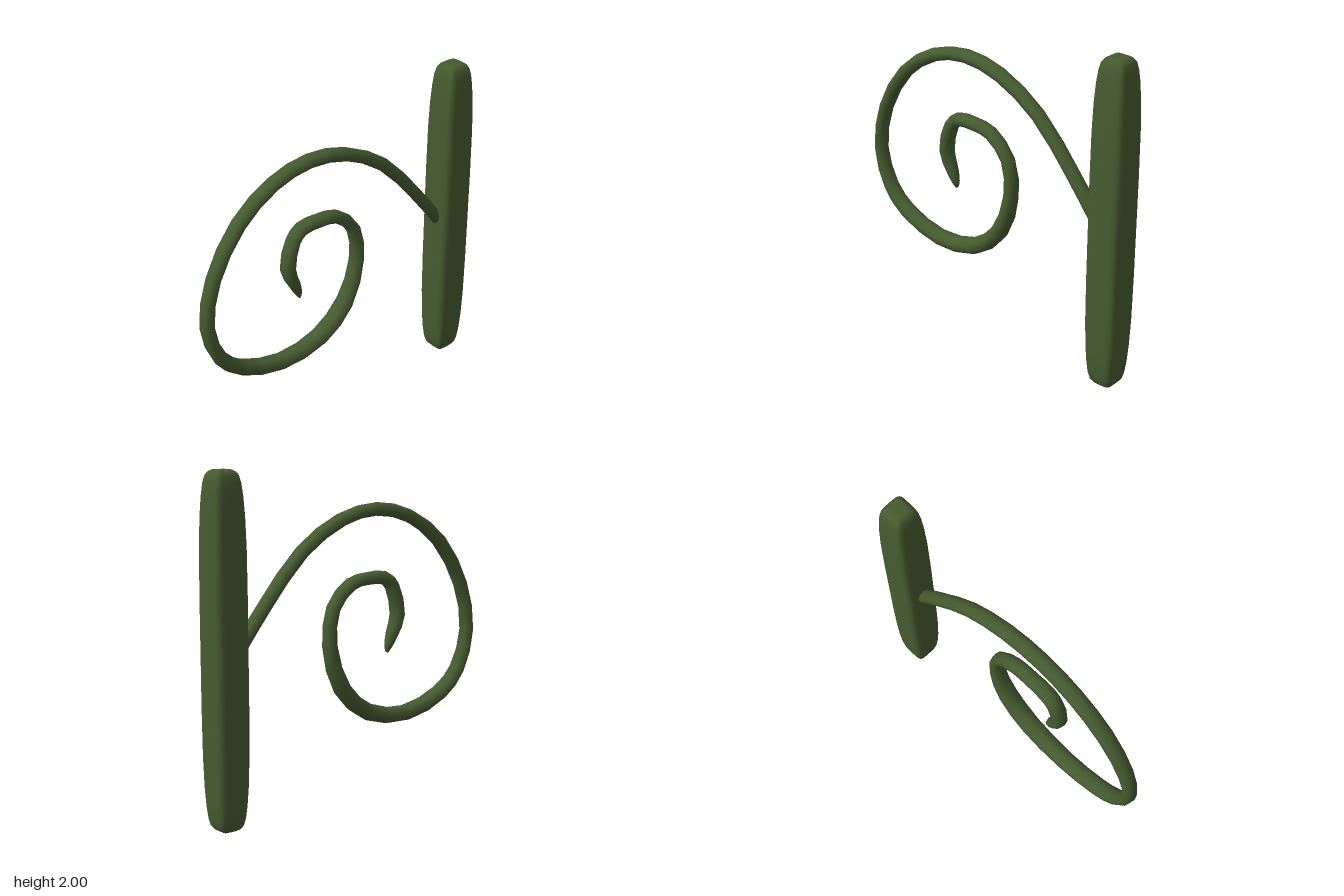
import * as THREE from 'three';

// Skin a list of closed rings (arrays of Vector3) into a smooth capped solid
function loft(rings) {
  const n = rings[0].length, pos = [], idx = [];
  rings.forEach(r => r.forEach(p => pos.push(p.x, p.y, p.z)));
  for (let i = 0; i < rings.length - 1; i++) {
    for (let j = 0; j < n; j++) {
      const a = i * n + j, b = i * n + (j + 1) % n;
      idx.push(a, a + n, b, b, a + n, b + n);
    }
  }
  // end caps fan out from each ring's centre
  [0, rings.length - 1].forEach((i, end) => {
    const c = new THREE.Vector3();
    rings[i].forEach(p => c.addScaledVector(p, 1 / n));
    const k = pos.length / 3;
    pos.push(c.x, c.y, c.z);
    for (let j = 0; j < n; j++) {
      const a = i * n + j, b = i * n + (j + 1) % n;
      if (end) idx.push(k, b, a); else idx.push(k, a, b);
    }
  });
  const g = new THREE.BufferGeometry();
  g.setAttribute('position', new THREE.Float32BufferAttribute(pos, 3));
  g.setIndex(idx);
  g.computeVertexNormals();
  return g;
}

const loop = (n, fn) => Array.from({ length: n }, (_, j) => fn((j / n) * Math.PI * 2));

// Upright post: rounded-square section, narrowing at both ends
function postGeometry() {
  const half = [[0, 0.045], [0.01, 0.062], [0.03, 0.076], [0.07, 0.086], [0.14, 0.094],
    [0.25, 0.101], [0.42, 0.106], [0.7, 0.108]];
  const profile = [...half, ...half.slice().reverse().map(([y, w]) => [2 - y, w])];
  const soft = v => Math.sign(v) * Math.pow(Math.abs(v), 2 / 5);
  return loft(profile.map(([y, w]) => loop(24, a =>
    new THREE.Vector3(0.863 + w * soft(Math.cos(a)), y, w * soft(Math.sin(a))))));
}

// Curled tendril: x, y and thickness along the centre line
function tendrilGeometry() {
  const path = [
    [0.81, 0.95, 0.034], [0.755, 1.025, 0.038], [0.59, 1.235, 0.038], [0.33, 1.52, 0.039],
    [0.05, 1.683, 0.04], [-0.21, 1.73, 0.04], [-0.46, 1.675, 0.04], [-0.70, 1.51, 0.041],
    [-0.88, 1.23, 0.04], [-0.937, 0.94, 0.04], [-0.86, 0.70, 0.043], [-0.72, 0.57, 0.046],
    [-0.44, 0.48, 0.048], [-0.15, 0.525, 0.051], [0.045, 0.69, 0.05], [0.135, 0.95, 0.042],
    [0.11, 1.175, 0.039], [-0.02, 1.305, 0.039], [-0.15, 1.327, 0.039], [-0.27, 1.32, 0.041],
    [-0.33, 1.265, 0.041], [-0.372, 1.09, 0.043], [-0.33, 0.975, 0.035], [-0.302, 0.905, 0.022],
    [-0.293, 0.87, 0.008]];
  const curve = new THREE.CatmullRomCurve3(path.map(p => new THREE.Vector3(...p)));
  const steps = (path.length - 1) * 2, rings = [];
  for (let i = 0; i <= steps; i++) {
    const p = curve.getPoint(i / steps), t = curve.getTangent(i / steps);
    const len = Math.hypot(t.x, t.y), r = p.z;
    const nx = t.y / len, ny = -t.x / len;
    rings.push(loop(10, a => new THREE.Vector3(
      p.x + nx * r * Math.cos(a), p.y + ny * r * Math.cos(a), 0.005 + 1.2 * r * Math.sin(a))));
  }
  return loft(rings);
}

export function createModel() {
  const model = new THREE.Group();
  const green = new THREE.MeshStandardMaterial({ color: 0x465b30 });
  green.name = 'mossGreen';
  const add = (name, geometry) => {
    const mesh = new THREE.Mesh(geometry, green);
    mesh.name = name;
    model.add(mesh);
  };
  add('post', postGeometry());
  add('curledTendril', tendrilGeometry());
  return model;
}
